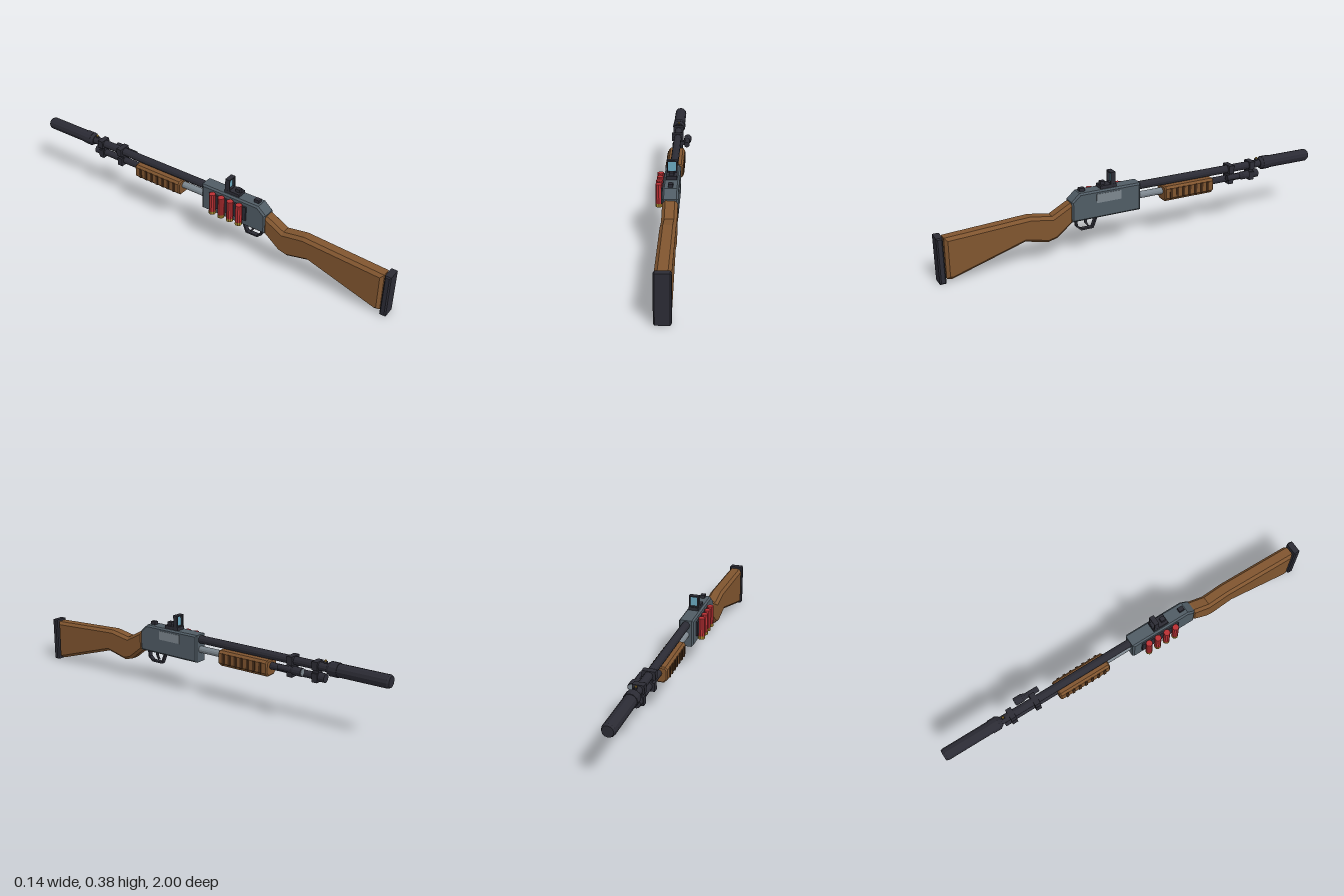
import * as THREE from 'three';

const mat = (name, color) => {
  const m = new THREE.MeshStandardMaterial({ color, flatShading: true });
  m.name = name;
  return m;
};

export function createModel() {
  const root = new THREE.Group();
  root.name = 'shotgun';
  const wood = mat('wood', 0x80552f);
  const darkWood = mat('dark wood', 0x4a2f1a);
  const steel = mat('receiver steel', 0x505c65);
  const tubeSteel = mat('light steel', 0x7c868e);
  const black = mat('black metal', 0x2b2b34);
  const red = mat('shell red', 0xbb3034);
  const brass = mat('brass', 0xa8852f);
  const glass = mat('sight glass', 0x6aa8bf);
  glass.side = THREE.DoubleSide;

  const add = (name, geo, material, x = 0, y = 0, z = 0, parent = root) => {
    const m = new THREE.Mesh(geo, material);
    m.name = name;
    m.position.set(x, y, z);
    parent.add(m);
    return m;
  };
  const group = (name) => {
    const g = new THREE.Group();
    g.name = name;
    root.add(g);
    return g;
  };
  const box = (name, material, w, h, d, x, y, z, parent) =>
    add(name, new THREE.BoxGeometry(w, h, d), material, x, y, z, parent);
  const shapeOf = (pts) => new THREE.Shape(pts.map(([a, b]) => new THREE.Vector2(a, b)));

  // Side outline in (z, y), extruded across x with chamfered edges
  const sideExtrude = (pts, width, bevel) => {
    const geo = new THREE.ExtrudeGeometry(shapeOf(pts), {
      depth: width - 2 * bevel, bevelEnabled: bevel > 0, bevelThickness: bevel,
      bevelSize: bevel, bevelOffset: -bevel, bevelSegments: 1,
    });
    geo.translate(0, 0, bevel - width / 2);
    return geo.rotateY(-Math.PI / 2);
  };
  // Cylinder along z between two positions; r0 at z0, r1 at z1
  const rod = (name, material, r0, r1, z0, z1, x, y, parent, sides = 12) =>
    add(name, new THREE.CylinderGeometry(r0, r1, Math.abs(z1 - z0), sides)
      .rotateX(z0 > z1 ? Math.PI / 2 : -Math.PI / 2), material, x, y, (z0 + z1) / 2, parent);

  // Stock and butt pad
  add('stock', sideExtrude([
    [0.35, 0.268], [0.35, 0.172], [0.433, 0.106], [0.48, 0.094], [0.59, 0.12],
    [0.94, 0.012], [0.965, 0.018], [0.963, 0.214], [0.56, 0.236], [0.455, 0.218], [0.37, 0.264],
  ], 0.07, 0.014), wood);
  add('buttPad', sideExtrude([[0.97, 0], [1, 0], [1, 0.222], [0.97, 0.222]], 0.073, 0.006), black);

  // Receiver with sloped rear corner
  add('receiver', sideExtrude([
    [0.003, 0.172], [0.36, 0.172], [0.36, 0.272], [0.318, 0.309], [0.003, 0.309],
  ], 0.073, 0.008), steel);
  box('ejectionPort', tubeSteel, 0.004, 0.044, 0.128, 0.0365, 0.271, 0.171);

  // Trigger guard as a bent strap, and trigger
  add('triggerGuard', sideExtrude([
    [0.333, 0.176], [0.331, 0.136], [0.306, 0.114], [0.242, 0.114], [0.217, 0.176],
    [0.226, 0.176], [0.248, 0.122], [0.303, 0.122], [0.323, 0.139], [0.325, 0.176],
  ], 0.022, 0), black);
  add('trigger', sideExtrude([
    [0.288, 0.176], [0.283, 0.145], [0.27, 0.128], [0.264, 0.13], [0.273, 0.147], [0.274, 0.176],
  ], 0.01, 0), black);

  // Barrel, magazine tube and end cap
  rod('barrel', black, 0.02, 0.02, 0.02, -0.72, 0, 0.284);
  rod('magazineTube', tubeSteel, 0.017, 0.017, 0.02, -0.3, 0, 0.234);
  rod('magazineTubeFront', black, 0.017, 0.017, -0.3, -0.66, 0, 0.234);
  rod('magazineCap', black, 0.021, 0.021, -0.65, -0.69, 0, 0.234);

  // Suppressor
  const suppressor = group('suppressor');
  rod('suppressorNeck', black, 0.024, 0.033, -0.7, -0.715, 0, 0.284, suppressor);
  rod('suppressorCollar', black, 0.034, 0.034, -0.715, -0.755, 0, 0.284, suppressor);
  rod('suppressorBody', black, 0.031, 0.031, -0.755, -0.99, 0, 0.284, suppressor);
  rod('suppressorTip', black, 0.031, 0.026, -0.99, -1, 0, 0.284, suppressor);

  // Barrel clamps and bead sight
  for (const [z, w] of [[-0.518, 0.062], [-0.645, 0.054]]) {
    box('barrelClamp', black, w, 0.04, 0.028, 0, 0.287, z);
    box('clampWeb', black, 0.03, 0.09, 0.028, 0, 0.257, z);
    box('tubeClamp', black, w - 0.008, 0.042, 0.028, 0, 0.231, z);
  }
  box('beadPost', black, 0.01, 0.012, 0.016, 0, 0.306, -0.685);
  add('bead', new THREE.SphereGeometry(0.006, 8, 6), brass, 0, 0.313, -0.685);

  // Pump forend: chamfered grip with ribs on both sides
  const forend = group('forend');
  const grip = new THREE.ExtrudeGeometry(shapeOf([
    [-0.024, 0.186], [0.024, 0.186], [0.042, 0.204], [0.042, 0.252],
    [0.032, 0.264], [-0.032, 0.264], [-0.042, 0.252], [-0.042, 0.204],
  ]), { depth: 0.264, bevelThickness: 0.006, bevelSize: 0.006, bevelOffset: -0.006, bevelSegments: 1 });
  add('grip', grip, wood, 0, 0, -0.4, forend);
  for (const side of [-1, 1])
    for (let i = 0; i < 7; i++)
      box('gripRib', darkWood, 0.008, 0.05, 0.013, side * 0.042, 0.228, -0.163 - i * 0.0345, forend);

  // Flashlight on the left side
  const light = group('flashlight');
  box('lightMount', black, 0.045, 0.02, 0.028, 0.03, 0.256, -0.518, light);
  rod('lightBody', black, 0.014, 0.014, -0.475, -0.55, 0.05, 0.256, light);
  rod('lightNeck', black, 0.014, 0.02, -0.545, -0.56, 0.052, 0.256, light);
  rod('lightHead', black, 0.02, 0.02, -0.56, -0.6, 0.052, 0.256, light);
  rod('lightLens', tubeSteel, 0.016, 0.016, -0.599, -0.602, 0.052, 0.256, light);

  // Reflex sight: base, open frame and glass
  const sight = group('reflexSight');
  box('sightBase', black, 0.05, 0.018, 0.082, 0, 0.316, 0.167, sight);
  box('sightEmitter', black, 0.022, 0.018, 0.024, 0, 0.332, 0.19, sight);
  for (const side of [-1, 1])
    box('framePost', black, 0.006, 0.066, 0.024, side * 0.0215, 0.35, 0.142, sight);
  box('frameTop', black, 0.049, 0.006, 0.024, 0, 0.38, 0.142, sight);
  box('frameBottom', black, 0.049, 0.008, 0.024, 0, 0.324, 0.142, sight);
  add('sightGlass', new THREE.PlaneGeometry(0.038, 0.052), glass, 0, 0.353, 0.142, sight);
  box('rearSight', black, 0.022, 0.02, 0.027, 0, 0.315, 0.296);

  // Shell holder on the right side
  const holder = group('shellHolder');
  box('holderPlate', black, 0.01, 0.075, 0.208, -0.04, 0.247, 0.155, holder);
  for (let i = 0; i < 4; i++) {
    const z = 0.08 + i * 0.05;
    add('shellCase', new THREE.CylinderGeometry(0.016, 0.016, 0.094, 10), red, -0.057, 0.25, z, holder);
    add('shellBase', new THREE.CylinderGeometry(0.0168, 0.0168, 0.016, 10), brass, -0.057, 0.195, z, holder);
  }
  return root;
}
